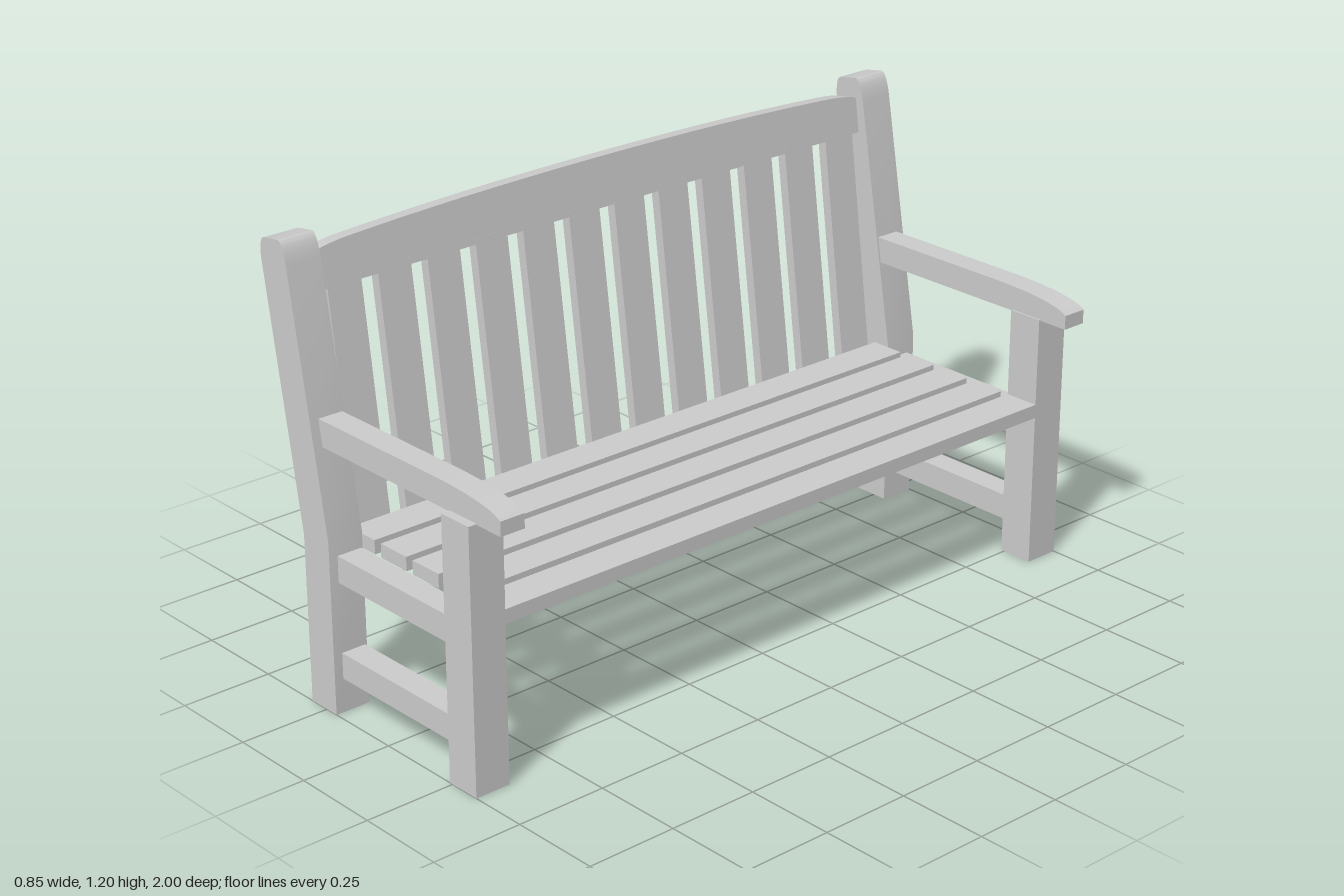
import * as THREE from 'three';
import { toCreasedNormals } from 'three/addons/utils/BufferGeometryUtils.js';

const material = new THREE.MeshStandardMaterial({ color: 0xcccccc });

function add(parent, name, geometry) {
  const mesh = new THREE.Mesh(geometry, material);
  mesh.name = name;
  parent.add(mesh);
  return mesh;
}

// box given by its lower and upper limits on each axis
function box(parent, name, [x0, x1], [y0, y1], [z0, z1]) {
  const mesh = add(parent, name, new THREE.BoxGeometry(x1 - x0, y1 - y0, z1 - z0));
  mesh.position.set((x0 + x1) / 2, (y0 + y1) / 2, (z0 + z1) / 2);
  return mesh;
}

function extrude(shape, depth) {
  const geometry = new THREE.ExtrudeGeometry(shape, { depth, bevelEnabled: false, curveSegments: 10 });
  return toCreasedNormals(geometry, 0.5);
}

// rear leg that leans back above the seat, with a rounded sloping top
function postShape() {
  const s = new THREE.Shape();
  s.moveTo(-0.31, 0);
  s.lineTo(-0.21, 0);
  s.lineTo(-0.21, 0.47);
  s.lineTo(-0.327, 1.14);
  s.quadraticCurveTo(-0.338, 1.195, -0.355, 1.2);
  s.lineTo(-0.415, 1.19);
  s.quadraticCurveTo(-0.43, 1.185, -0.428, 1.14);
  s.lineTo(-0.31, 0.455);
  s.closePath();
  return s;
}

// armrest whose top curves down toward the tip
function armShape() {
  const s = new THREE.Shape();
  s.moveTo(-0.27, 0.697);
  s.lineTo(0.425, 0.697);
  s.lineTo(0.425, 0.735);
  s.quadraticCurveTo(0.39, 0.763, 0.2, 0.767);
  s.lineTo(-0.27, 0.767);
  s.closePath();
  return s;
}

// crest rail, arched along its top edge
function crestShape() {
  const s = new THREE.Shape();
  s.moveTo(-0.9, 1.059);
  s.lineTo(0.9, 1.059);
  s.lineTo(0.9, 1.153);
  s.quadraticCurveTo(0.885, 1.165, 0.8, 1.171);
  s.quadraticCurveTo(0.45, 1.191, 0, 1.191);
  s.quadraticCurveTo(-0.45, 1.191, -0.8, 1.171);
  s.quadraticCurveTo(-0.885, 1.165, -0.9, 1.153);
  s.closePath();
  return s;
}

export function createModel() {
  const bench = new THREE.Group();
  bench.name = 'gardenBench';

  // end frames
  for (const side of [-1, 1]) {
    const frame = new THREE.Group();
    frame.name = side > 0 ? 'leftEndFrame' : 'rightEndFrame';
    bench.add(frame);
    const span = (a, b) => (side > 0 ? [a, b] : [-b, -a]);

    const outer = span(0.9, 1);
    const inner = span(0.905, 0.975);
    add(frame, 'backPost', extrude(postShape(), 0.1)).position.z = outer[0];
    box(frame, 'frontLeg', [0.24, 0.34], [0, 0.7], outer);
    add(frame, 'armrest', extrude(armShape(), 0.07)).position.z = inner[0];
    box(frame, 'seatRail', [-0.215, 0.245], [0.352, 0.424], inner);
    box(frame, 'lowerStretcher', [-0.215, 0.245], [0.092, 0.162], inner);
  }

  // seat slats
  for (let i = 0; i < 5; i++) {
    const x = -0.26 + i * 0.125;
    box(bench, 'seatSlat', [x, x + 0.1], [0.422, 0.46], [-0.9, 0.9]);
  }

  // leaning backrest, front faces of slats and crest rail flush
  const backrest = new THREE.Group();
  backrest.name = 'backrest';
  backrest.position.x = -0.203;
  backrest.rotation.z = THREE.MathUtils.degToRad(7.5);
  bench.add(backrest);

  const crest = add(backrest, 'crestRail', extrude(crestShape(), 0.046));
  crest.rotation.y = Math.PI / 2;
  crest.position.x = -0.046;

  for (let i = 0; i < 12; i++) {
    const z = (i - 5.5) * 0.15;
    box(backrest, 'backSlat', [-0.027, 0.0005], [0.418, 1.075], [z - 0.05, z + 0.05]);
  }

  return bench;
}
